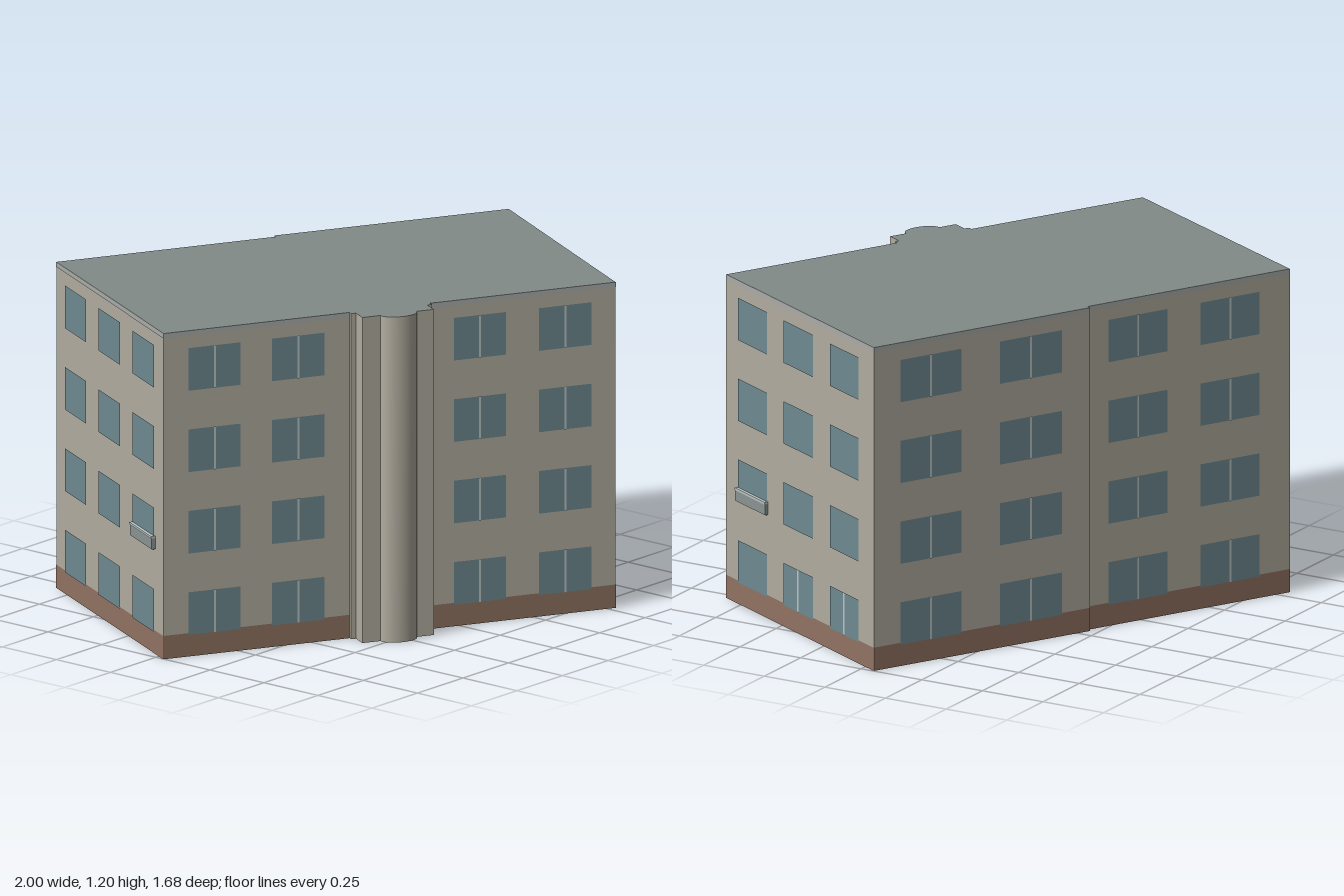
import * as THREE from 'three';
import { toCreasedNormals } from 'three/addons/utils/BufferGeometryUtils.js';

const H = 1.2;
const mat = (color, side = THREE.FrontSide) => new THREE.MeshStandardMaterial({ color, side });
const MAT = {
  wall: mat(0xb2ada0, THREE.DoubleSide),
  roof: mat(0x828b88, THREE.DoubleSide),
  plinth: mat(0x927363),
  trim: mat(0xa9adaa),
  glass: mat(0x6f8a92),
  mullion: mat(0xbcc6c6),
  apron: mat(0x8a9594),
};

// Plan corners [x, z]; the back wall has a small step between stepOut and stepIn
const A = [-1, 0.036], B = [0.53, 0.838], C = [0.996, -0.05], D = [-0.55, -0.84];
const stepOut = [0.203, -0.466], stepIn = [0.196, -0.452];

// Point on the front wall: t along it from A, d outward
const U = [0.8857, 0.4643];
const onFront = (t, d) => [A[0] + t * U[0] - d * U[1], A[1] + t * U[1] + d * U[0]];

// Stair bay: two square pilasters with a half round between them
function bayProfile() {
  const p = [[0.71, 0], [0.71, 0.017], [0.728, 0.017], [0.728, 0.077]];
  const n = 14;
  for (let i = 0; i <= n; i++) {
    const a = Math.PI * (1 - i / n);
    p.push([0.866 + 0.069 * Math.cos(a), 0.077 + 0.043 * Math.sin(a)]);
  }
  p.push([1.001, 0.077], [1.001, 0.017], [1.018, 0.017], [1.018, 0]);
  return p.map(([t, d]) => onFront(t, d));
}

// Upright walls following a closed plan outline
function wallGeometry(outline) {
  const pos = [];
  outline.forEach(([x0, z0], i) => {
    const [x1, z1] = outline[(i + 1) % outline.length];
    pos.push(x0, 0, z0, x1, 0, z1, x1, H, z1, x0, 0, z0, x1, H, z1, x0, H, z0);
  });
  const g = new THREE.BufferGeometry();
  g.setAttribute('position', new THREE.Float32BufferAttribute(pos, 3));
  return toCreasedNormals(g, 0.5);
}

// Flat panel on a facade, spanning t0..t1 and y0..y1
function panel(parent, name, material, t0, t1, y0, y1, offset) {
  const m = new THREE.Mesh(new THREE.PlaneGeometry(t1 - t0, y1 - y0), material);
  m.position.set((t0 + t1) / 2, (y0 + y1) / 2, offset);
  m.name = name;
  parent.add(m);
}

// Facade from p to q: local x runs along the wall, local z points outward
function facade(name, p, q, { windows, hasMullion = () => false, gap, apron }) {
  const g = new THREE.Group();
  g.name = name;
  const dx = q[0] - p[0], dz = q[1] - p[1], len = Math.hypot(dx, dz);
  g.position.set(p[0], 0, p[1]);
  g.rotation.y = -Math.atan2(dz, dx);

  const spans = gap ? [[0, gap[0]], [gap[1], len]] : [[0, len]];
  for (const [a, b] of spans) {
    panel(g, 'plinth', MAT.plinth, a, b, 0, 0.086, 0.002);
    panel(g, 'topTrim', MAT.trim, a, b, 1.183, H, 0.002);
  }
  for (let row = 0; row < 4; row++) {
    const y = 0.08 + 0.3 * row;
    windows.forEach(([a, b], col) => {
      panel(g, 'window', MAT.glass, a, b, y, y + 0.157, 0.004);
      const c = (a + b) / 2;
      if (hasMullion(row, col)) panel(g, 'mullion', MAT.mullion, c - 0.004, c + 0.004, y, y + 0.157, 0.006);
    });
  }
  // Shallow guard panel with a pale rail across one window
  if (apron) {
    const [a, b] = apron;
    const box = new THREE.Mesh(new THREE.BoxGeometry(b - a, 0.04, 0.014), MAT.apron);
    box.name = 'windowGuard';
    box.position.set((a + b) / 2, 0.405, 0.007);
    const rail = new THREE.Mesh(new THREE.BoxGeometry(b - a, 0.008, 0.016), MAT.mullion);
    rail.name = 'guardRail';
    rail.position.set((a + b) / 2, 0.429, 0.008);
    g.add(box, rail);
  }
  return g;
}

export function createModel() {
  const model = new THREE.Group();
  model.name = 'apartmentBlock';
  const outline = [A, ...bayProfile(), B, C, stepOut, stepIn, D];

  const walls = new THREE.Mesh(wallGeometry(outline), MAT.wall);
  walls.name = 'walls';

  // Flat roof, open underneath
  const shape = new THREE.Shape(outline.map(([x, z]) => new THREE.Vector2(x, -z)));
  const roof = new THREE.Mesh(new THREE.ShapeGeometry(shape), MAT.roof);
  roof.name = 'roof';
  roof.rotation.x = -Math.PI / 2;
  roof.position.y = H;

  const all = () => true;
  model.add(
    walls,
    roof,
    facade('frontFacade', A, B, {
      windows: [[0.094, 0.292], [0.413, 0.613], [1.108, 1.307], [1.434, 1.633]],
      hasMullion: all,
      gap: [0.71, 1.018],
    }),
    facade('leftFacade', B, C, {
      windows: [[0.087, 0.282], [0.397, 0.595], [0.711, 0.904]],
      hasMullion: (row, col) => row === 0 && col > 0,
      apron: [0.084, 0.285],
    }),
    facade('backFacadeOuter', C, stepOut, {
      windows: [[0.107, 0.36], [0.52, 0.777]],
      hasMullion: all,
    }),
    facade('backFacadeInner', stepIn, D, {
      windows: [[0.085, 0.33], [0.468, 0.713]],
      hasMullion: all,
    }),
    facade('rightFacade', D, A, {
      windows: [[0.09, 0.283], [0.398, 0.592], [0.71, 0.905]],
      apron: [0.707, 0.908],
    }),
  );
  return model;
}
